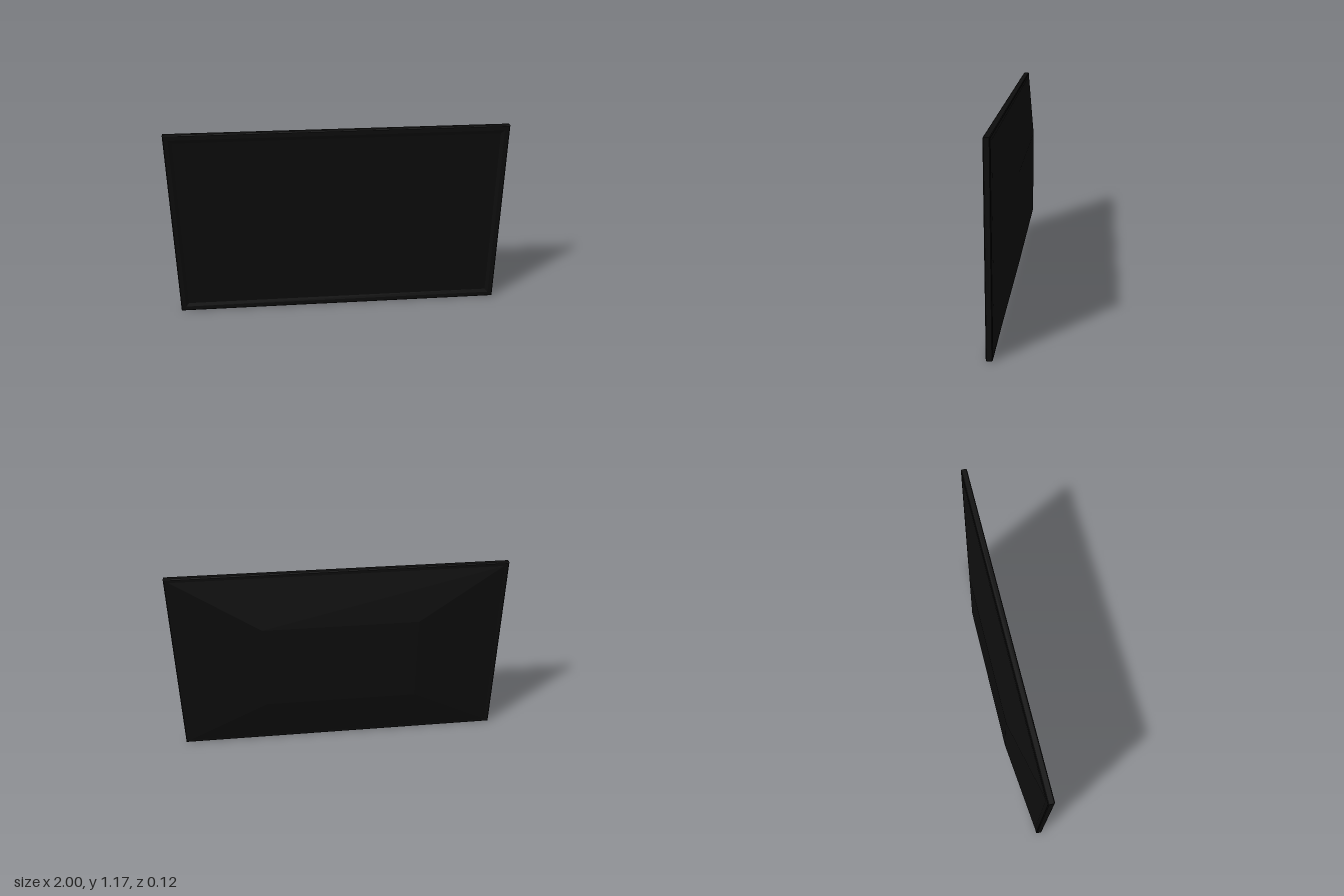
import * as THREE from 'three';

const W = 1, H = 0.585; // half width and half height

// Joins rectangular cross-sections [halfWidth, halfHeight, z], listed from back to front
function loftRects(rings, capBack, capFront) {
  const pos = [];
  const corner = ([w, h, z], i) => [[-w, -h, z], [w, -h, z], [w, h, z], [-w, h, z]][i % 4];
  const quad = (a, b, c, d) => pos.push(...a, ...b, ...c, ...a, ...c, ...d);
  for (let r = 0; r < rings.length - 1; r++) {
    for (let i = 0; i < 4; i++) {
      quad(corner(rings[r], i), corner(rings[r], i + 1), corner(rings[r + 1], i + 1), corner(rings[r + 1], i));
    }
  }
  const first = rings[0], last = rings[rings.length - 1];
  if (capBack) quad(...[3, 2, 1, 0].map(i => corner(first, i)));
  if (capFront) quad(...[0, 1, 2, 3].map(i => corner(last, i)));
  const geometry = new THREE.BufferGeometry();
  geometry.setAttribute('position', new THREE.Float32BufferAttribute(pos, 3));
  geometry.computeVertexNormals();
  return geometry;
}

export function createModel() {
  const casing = new THREE.MeshStandardMaterial({ color: 0x0d0d0d });
  casing.name = 'black casing';
  const glass = new THREE.MeshStandardMaterial({ color: 0x0c0c0c });
  glass.name = 'dark screen';

  const group = new THREE.Group();
  group.name = 'flatPanelDisplay';
  const add = (name, geometry, material) => {
    const mesh = new THREE.Mesh(geometry, material);
    mesh.name = name;
    mesh.position.y = H;
    group.add(mesh);
    return mesh;
  };

  // Frame with softened edges and a bezel sloping in to the screen
  const inset = (d, z) => [W - d, H - d, z];
  add('frame', loftRects([
    inset(0.004, 0.022), inset(0, 0.026), inset(0, 0.054), inset(0.004, 0.058),
    inset(0.03, 0.058), inset(0.05, 0.05),
  ], true, false), casing);

  // Recessed screen
  const screen = add('screen', new THREE.PlaneGeometry(2 * (W - 0.05), 2 * (H - 0.05)), glass);
  screen.position.z = 0.05;

  // Tapered rear housing, separated from the frame by a fine seam
  add('rearHousing', loftRects([
    [0.465, 0.265, -0.058], [0.97, H - 0.02, 0.02],
  ], true, true), casing);

  return group;
}
